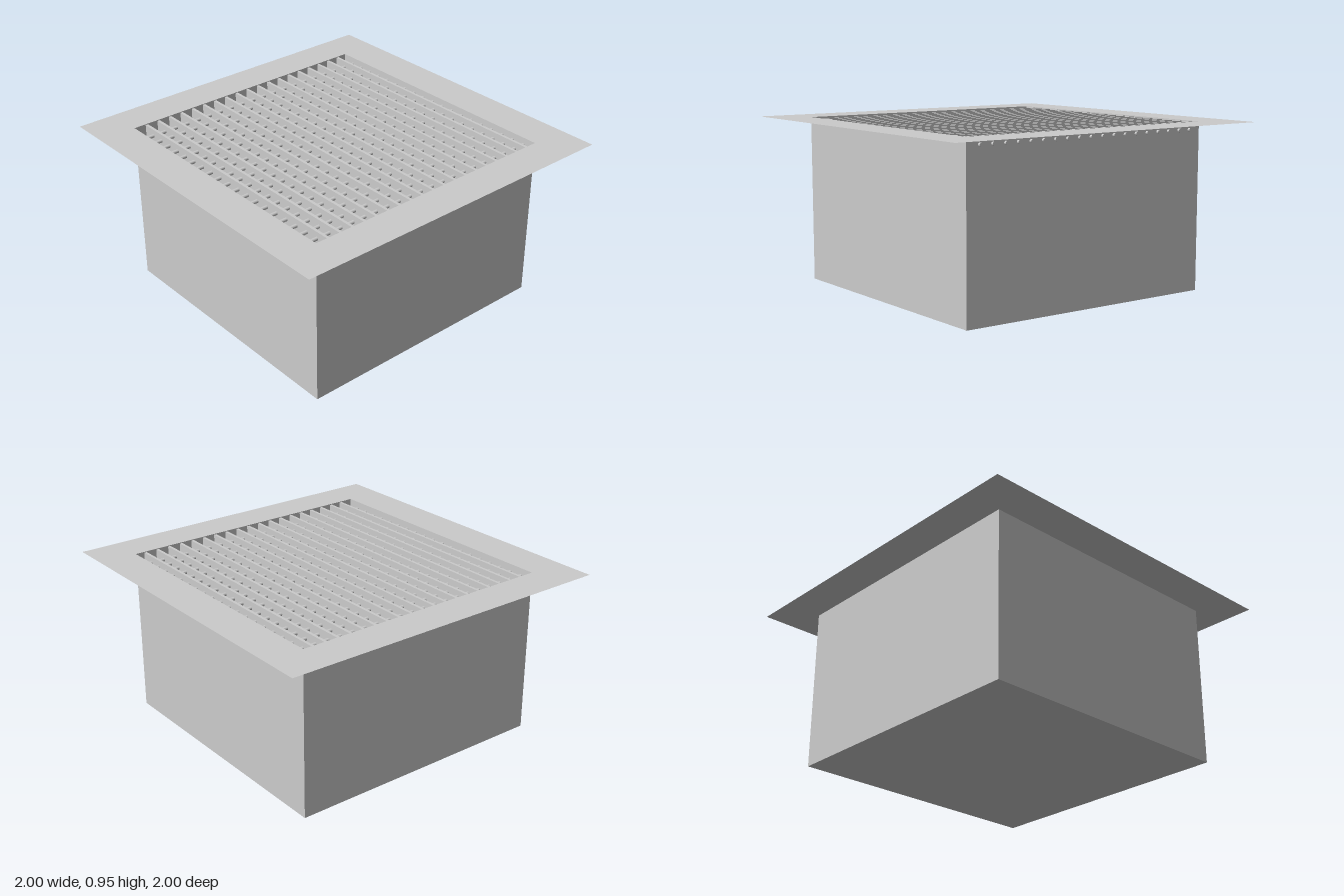
import * as THREE from 'three';

const W = 0.778, D = 0.785, H = 0.95; // half width, half depth and height of the box
const COUNT = 19, PITCH = 0.0785;

export function createModel() {
  const model = new THREE.Group();
  const solid = new THREE.MeshStandardMaterial({ color: 0xcccccc });
  const sheet = new THREE.MeshStandardMaterial({ color: 0xcccccc, side: THREE.DoubleSide });
  const add = (name, geometry, material, parent = model) => {
    const mesh = new THREE.Mesh(geometry, material);
    mesh.name = name;
    parent.add(mesh);
    return mesh;
  };
  const addGroup = (name) => {
    const group = new THREE.Group();
    group.name = name;
    model.add(group);
    return group;
  };

  // Open-topped plenum box of thin sheet
  const box = addGroup('plenumBox');
  for (const s of [-1, 1]) {
    const face = add('frontBackWall', new THREE.PlaneGeometry(2 * W, H), sheet, box);
    face.position.set(0, H / 2, s * D);
    if (s < 0) face.rotation.y = Math.PI;
    const side = add('sideWall', new THREE.PlaneGeometry(2 * D, H), sheet, box);
    side.position.set(s * W, H / 2, 0);
    side.rotation.y = s * Math.PI / 2;
  }
  const floor = add('floor', new THREE.PlaneGeometry(2 * W, 2 * D), sheet, box);
  floor.rotation.x = Math.PI / 2;

  // Flat flange around the opening
  const rectangle = (target, w, d) =>
    target.moveTo(-w, -d).lineTo(w, -d).lineTo(w, d).lineTo(-w, d).closePath();
  const outline = rectangle(new THREE.Shape(), 1, 1);
  outline.holes.push(rectangle(new THREE.Path(), W, D));
  const flange = add('flange', new THREE.ShapeGeometry(outline), sheet);
  flange.rotation.x = -Math.PI / 2;
  flange.position.y = H;

  // Upright blades running front to back, crossed by thin rods
  const blades = addGroup('blades');
  const rods = addGroup('rods');
  const bladeGeometry = new THREE.BoxGeometry(0.016, 0.075, 2 * D);
  const rodGeometry = new THREE.CylinderGeometry(0.01, 0.01, 1.565, 12);
  rodGeometry.rotateZ(Math.PI / 2);
  for (let i = 0; i < COUNT; i++) {
    const offset = (i - (COUNT - 1) / 2) * PITCH;
    add('blade', bladeGeometry, solid, blades).position.set(offset + 0.009, 0.908, 0);
    // The rods stick out slightly through the left wall
    add('rod', rodGeometry, solid, rods).position.set(0.0095, 0.908, offset - 0.002);
  }
  return model;
}
